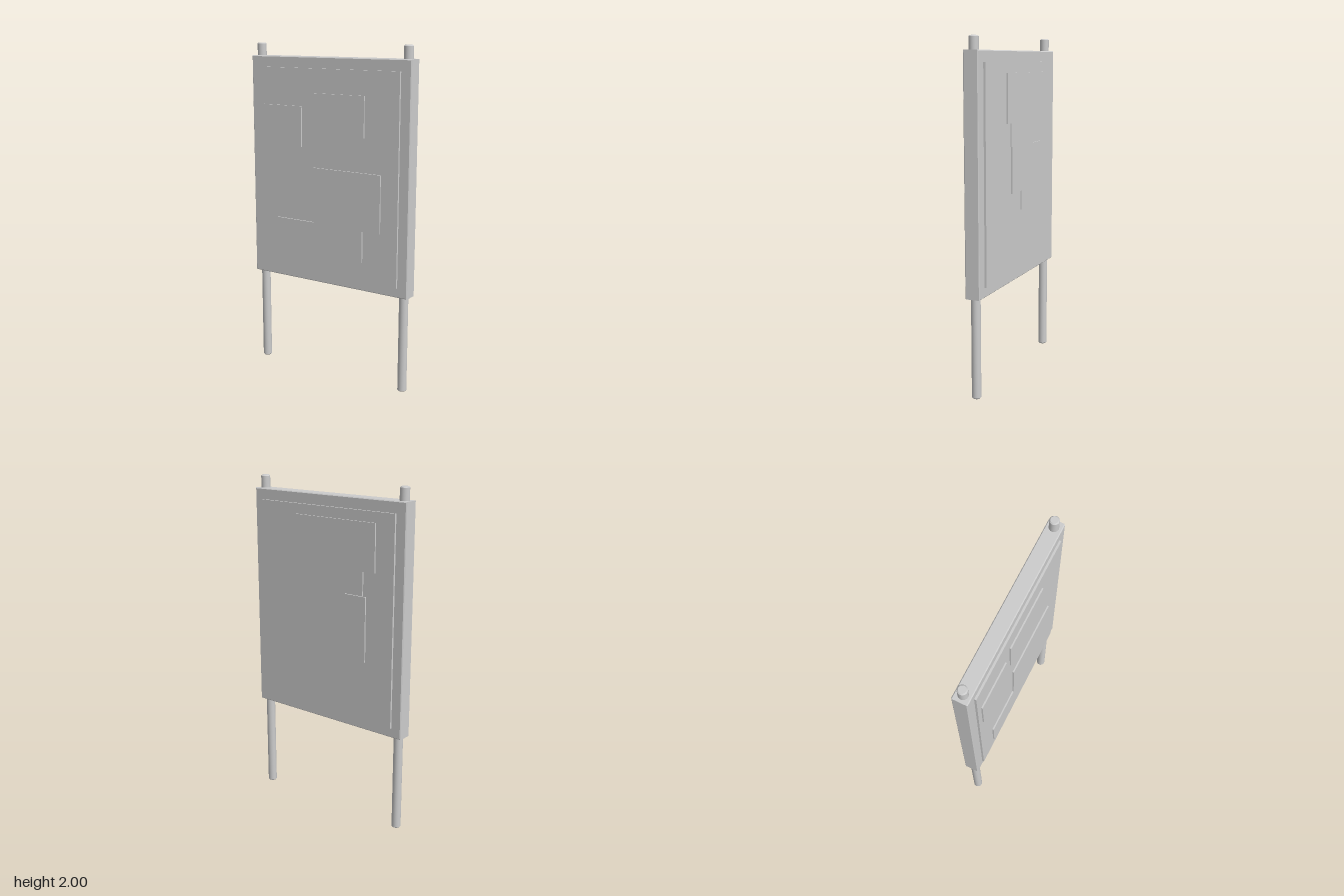
import * as THREE from 'three';

const grey = new THREE.MeshStandardMaterial({ color: 0xcccccc });
grey.name = 'plain grey';
const Z = -0.0015; // centre plane of the board

// Adds a named mesh to the group
function add(group, name, geometry) {
  const mesh = new THREE.Mesh(geometry, grey);
  mesh.name = name;
  group.add(mesh);
  return mesh;
}

// Flat sheet cut to an outline, between two depths
function sheet(points, z0, z1) {
  const shape = new THREE.Shape(points.map(([x, y]) => new THREE.Vector2(x, y)));
  return new THREE.ExtrudeGeometry(shape, { depth: z1 - z0, bevelEnabled: false }).translate(0, 0, z0);
}

const rect = (x0, y0, x1, y1) => [[x0, y0], [x1, y0], [x1, y1], [x0, y1]];

export function createModel() {
  const group = new THREE.Group();
  group.name = 'noticeBoard';

  // Board with a small chamfer on every edge
  const c = 0.005;
  const boardShape = new THREE.Shape(
    rect(-0.543 + c, 0.582 + c, 0.543 - c, 1.925 - c).map(([x, y]) => new THREE.Vector2(x, y)));
  add(group, 'board', new THREE.ExtrudeGeometry(boardShape, {
    depth: 0.089 - 2 * c, bevelSize: c, bevelThickness: c, bevelSegments: 1,
  }).translate(0, 0, Z - 0.0445 + c));

  // Two round posts with chamfered ends
  const profile = [[0, 0], [0.021, 0], [0.027, 0.006], [0.027, 0.006], [0.027, 1.994],
    [0.027, 1.994], [0.021, 2], [0.021, 2], [0, 2]].map(([r, y]) => new THREE.Vector2(r, y));
  for (const side of [-1, 1]) {
    const post = add(group, side > 0 ? 'leftPost' : 'rightPost', new THREE.LatheGeometry(profile, 20));
    post.position.set(side * 0.5, 0, Z);
  }

  // Raised panels on both faces
  const panel = rect(-0.48, 0.64, 0.48, 1.86);
  add(group, 'frontPanel', sheet(panel, 0.04, 0.055));
  add(group, 'backPanel', sheet(panel, -0.058, -0.043));

  // Notices pinned to the front
  const front = {
    smallNotice: rect(-0.445, 1.40, -0.17, 1.64),
    wideNotice: rect(-0.12, 1.483, 0.26, 1.72),
    largeNotice: [[-0.35, 0.758], [0.253, 0.758], [0.253, 0.945], [0.37, 0.945],
      [0.37, 1.285], [-0.085, 1.285], [-0.085, 0.955], [-0.35, 0.955]],
  };
  for (const name in front) add(group, name, sheet(front[name], 0.054, 0.0635));

  // Stepped notice on the back, with a narrow slit cut into one side
  const back = [[-0.297, 1.0], [0.014, 1.0], [0.014, 1.115], [0.15, 1.115], [0.15, 1.385],
    [0.158, 1.385], [0.158, 1.52], [0.208, 1.52], [0.208, 1.80], [-0.358, 1.80],
    [-0.358, 1.525], [-0.277, 1.525], [-0.277, 1.387], [-0.157, 1.387], [-0.157, 1.382],
    [-0.297, 1.382]];
  add(group, 'backNotice', sheet(back, -0.0665, -0.057));

  return group;
}
